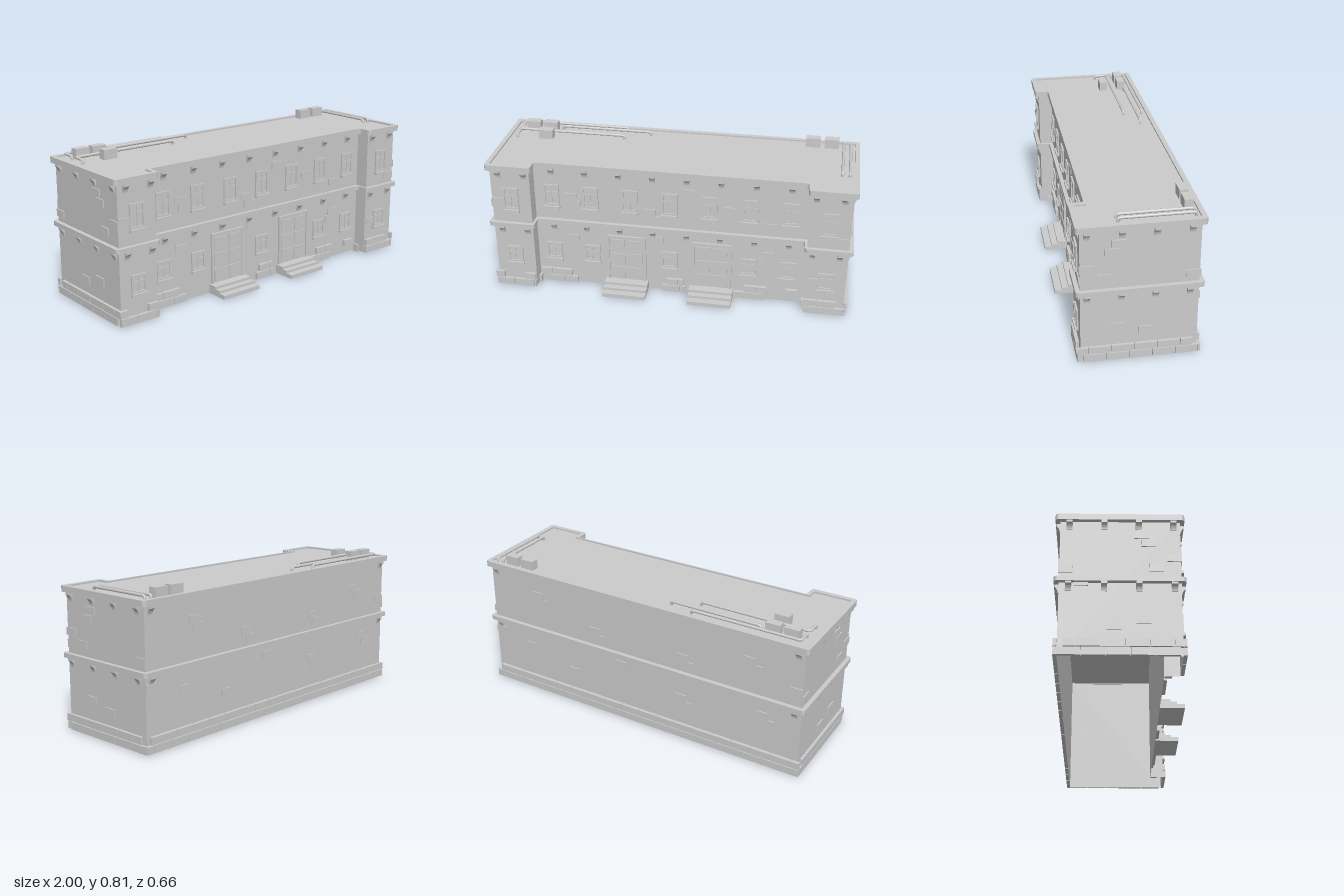
import * as THREE from 'three';

// Double-sided because the building is an open-bottomed shell
const stone = new THREE.MeshStandardMaterial({ color: 0xcccccc, side: THREE.DoubleSide });
stone.name = 'grey stone';

// U-shaped plan: two end wings stand forward of the main front
const plan = (x, back, front, wing, recess) => [
  [-x, back], [-x, front], [-wing, front], [-wing, recess],
  [wing, recess], [wing, front], [x, front], [x, back],
];
const wallPlan = plan(0.975, -0.305, 0.278, 0.755, 0.2);
const cornicePlan = plan(0.998, -0.329, 0.3, 0.742, 0.222);
const roofPlan = plan(0.972, -0.303, 0.273, 0.765, 0.213);

function add(parent, geometry, name, x = 0, y = 0, z = 0) {
  const mesh = new THREE.Mesh(geometry, stone);
  mesh.name = name;
  mesh.position.set(x, y, z);
  parent.add(mesh);
  return mesh;
}

// Trace a plan as a path with softened corners
function trace(path, pts, r) {
  const n = pts.length;
  const toward = (a, b) => {
    const l = Math.hypot(b[0] - a[0], b[1] - a[1]);
    return [a[0] + (b[0] - a[0]) * r / l, -(a[1] + (b[1] - a[1]) * r / l)];
  };
  pts.forEach((p, i) => {
    const from = toward(p, pts[(i + n - 1) % n]), to = toward(p, pts[(i + 1) % n]);
    if (i) path.lineTo(...from); else path.moveTo(...from);
    path.quadraticCurveTo(p[0], -p[1], ...to);
  });
  path.closePath();
  return path;
}

function slab(outer, hole, y0, y1) {
  const shape = trace(new THREE.Shape(), outer, 0.018);
  if (hole) shape.holes.push(trace(new THREE.Path(), hole, 0.004));
  return new THREE.ExtrudeGeometry(shape, { depth: y1 - y0, bevelEnabled: false, curveSegments: 4 })
    .rotateX(-Math.PI / 2).translate(0, y0, 0);
}

// Open-bottomed shell of flat walls
function wallShell(y0, y1) {
  const pos = [];
  wallPlan.forEach((p, i) => {
    const q = wallPlan[(i + 1) % wallPlan.length];
    const a = [p[0], y0, p[1]], b = [q[0], y0, q[1]], c = [q[0], y1, q[1]], d = [p[0], y1, p[1]];
    pos.push(...a, ...b, ...c, ...a, ...c, ...d);
  });
  const g = new THREE.BufferGeometry();
  g.setAttribute('position', new THREE.Float32BufferAttribute(pos, 3));
  g.computeVertexNormals();
  return g;
}

// A holder on a wall: its +z points out of the wall, u runs along world x or z
function onWall(root, side, u, y, name) {
  const holder = new THREE.Group();
  holder.name = name;
  const frontZ = Math.abs(u) > 0.755 ? 0.278 : 0.2;
  const [x, z, turn] = {
    front: [u, frontZ, 0],
    back: [u, -0.305, Math.PI],
    right: [0.975, u, Math.PI / 2],
    left: [-0.975, u, -Math.PI / 2],
  }[side];
  holder.position.set(x, y, z);
  holder.rotation.y = turn;
  root.add(holder);
  return holder;
}

const block = (parent, name, x, y, w, h, d) =>
  add(parent, new THREE.BoxGeometry(w, h, d), name, x, y, d / 2);

function bricks(root, side, list) {
  for (const [u, y] of list) block(onWall(root, side, u, y, 'wallBrick'), 'brick', 0, 0, 0.07, 0.04, 0.006);
}

function windowAt(root, x, y0, h) {
  const g = onWall(root, 'front', x, y0, 'window');
  const w = 0.088, t = 0.011;
  block(g, 'pane', 0, h / 2, w, h, 0.002);
  for (const s of [-1, 1]) block(g, 'sideFrame', s * (w - t) / 2, h / 2, t, h, 0.009);
  block(g, 'topFrame', 0, h - t / 2, w, t, 0.009);
  block(g, 'bottomFrame', 0, t / 2, w, t, 0.009);
  block(g, 'mullion', 0, h / 2, 0.007, h, 0.006);
  block(g, 'transom', 0, h * 0.64, w, 0.007, 0.006);
  block(g, 'sill', 0, -0.007, 0.094, 0.014, 0.019);
}

function entranceAt(root, x) {
  const g = onWall(root, 'front', x, 0, 'entrance');
  block(g, 'doorLeaf', 0, 0.193, 0.22, 0.285, 0.004);
  for (const s of [-1, 1]) {
    block(g, 'doorJamb', s * 0.104, 0.193, 0.012, 0.285, 0.012);
    for (let i = 0; i < 3; i++) block(g, 'doorPanel', s * 0.049, 0.1 + i * 0.088, 0.078, 0.07, 0.009);
  }
  block(g, 'doorLintel', 0, 0.33, 0.22, 0.012, 0.012);
  // three steps, widest at the ground
  [[0.13, 0.004, 0.026], [0.09, 0.026, 0.04], [0.055, 0.04, 0.054]].forEach(([d, a, b]) =>
    block(g, 'step', 0, (a + b) / 2, 0.244, b - a, d));
}

// Curved bracket below a cornice
const bracketShape = new THREE.Shape();
bracketShape.moveTo(0, 0);
bracketShape.lineTo(0, -0.045);
bracketShape.lineTo(0.004, -0.045);
bracketShape.quadraticCurveTo(0.006, -0.024, 0.021, -0.012);
bracketShape.lineTo(0.021, 0);
const bracketGeo = new THREE.ExtrudeGeometry(bracketShape, { depth: 0.03, bevelEnabled: false, curveSegments: 6 })
  .translate(0, 0, -0.015).rotateY(-Math.PI / 2);

// One course of base stones with narrow joints
function course(root, side, from, to, y, h, first, d) {
  let a = from, len = first;
  while (a < to - 0.01) {
    const b = Math.min(a + len, to);
    block(onWall(root, side, (a + b) / 2, y, 'baseStone'), 'stone', 0, 0, b - a - 0.003, h, d);
    a = b;
    len = 0.115;
  }
}

function pipe(root, pts) {
  const path = new THREE.CurvePath();
  const v = pts.map((p) => new THREE.Vector3(...p));
  let last = v[0];
  for (let i = 1; i < v.length - 1; i++) {
    const before = v[i].clone().add(v[i - 1].clone().sub(v[i]).setLength(0.016));
    const after = v[i].clone().add(v[i + 1].clone().sub(v[i]).setLength(0.016));
    path.add(new THREE.LineCurve3(last, before));
    path.add(new THREE.QuadraticBezierCurve3(before, v[i], after));
    last = after;
  }
  path.add(new THREE.LineCurve3(last, v[v.length - 1]));
  add(root, new THREE.TubeGeometry(path, 90, 0.008, 8), 'roofPipe');
}

export function createModel() {
  const root = new THREE.Group();
  root.name = 'building';

  // Walls, middle cornice, parapet and roof
  add(root, wallShell(0.005, 0.74), 'walls');
  add(root, slab(cornicePlan, wallPlan, 0.388, 0.413), 'middleCornice');
  add(root, slab(cornicePlan, roofPlan, 0.73, 0.762), 'topCornice');
  add(root, slab(roofPlan, null, 0.735, 0.753), 'roof');

  // Brackets under both cornices
  const frontBrackets = [-0.93, -0.785, -0.655, -0.468, -0.28, -0.094, 0.094, 0.28, 0.468, 0.655, 0.785, 0.93];
  for (const y of [0.388, 0.73]) {
    const put = (side, u) => add(onWall(root, side, u, y, 'bracket'), bracketGeo, 'corbel');
    frontBrackets.forEach((u) => put('front', u));
    for (const u of [0.245, 0.077, -0.09, -0.26]) ['left', 'right'].forEach((s) => put(s, u));
    for (const u of [-0.94, 0.94]) put('back', u);
  }

  // Windows and entrances
  for (const x of [-0.867, -0.66, -0.44, -0.22, 0, 0.22, 0.44, 0.66, 0.867]) {
    windowAt(root, x, 0.495, 0.13);
    if (Math.abs(x) !== 0.22) windowAt(root, x, 0.158, 0.1);
  }
  entranceAt(root, -0.243);
  entranceAt(root, 0.238);

  // Base stones: full courses on the sides and back, broken ones on the front
  for (const s of ['left', 'right']) {
    course(root, s, -0.322, 0.266, 0.025, 0.04, 0.012, 0.015);
    course(root, s, -0.28, 0.295, 0.068, 0.038, 0.06, 0.015);
  }
  course(root, 'back', -0.985, 0.985, 0.025, 0.04, 0.09, 0.019);
  course(root, 'back', -0.99, 0.96, 0.068, 0.038, 0.05, 0.019);
  for (const [a, b] of [[-0.985, -0.755], [-0.71, -0.53], [-0.04, 0.09], [0.36, 0.53], [0.757, 0.985]])
    course(root, 'front', a, b, 0.025, 0.04, 0.1, 0.017);
  for (const [a, b] of [[-0.99, -0.94], [-0.82, -0.757], [-0.75, -0.56], [-0.02, 0.08], [0.42, 0.55], [0.65, 0.72], [0.757, 0.93]])
    course(root, 'front', a, b, 0.068, 0.038, 0.07, 0.017);
  // Stones on the inner faces of the wings
  for (const s of [-1, 1])
    add(root, new THREE.BoxGeometry(0.018, 0.042, 0.036), 'wingStone', s * 0.752, 0.021, 0.22);

  // Scattered raised bricks
  const sideBricks = [[0.09, 0.655], [0.123, 0.61], [0.248, 0.527], [0.16, 0.473], [-0.275, 0.46],
    [-0.2, 0.392], [0.097, 0.193], [-0.043, 0.16]];
  bricks(root, 'right', sideBricks);
  bricks(root, 'left', sideBricks);
  bricks(root, 'back', [[0.65, 0.62], [0.62, 0.58], [0.27, 0.5], [0.235, 0.46], [-0.29, 0.5], [-0.32, 0.46],
    [-0.68, 0.6], [-0.72, 0.56], [0.72, 0.28], [0.1, 0.34], [-0.28, 0.25], [-0.31, 0.21], [-0.76, 0.3],
    [-0.8, 0.26], [0.42, 0.2], [-0.94, 0.5], [0.94, 0.33]]);
  bricks(root, 'front', [[-0.55, 0.56], [-0.53, 0.52], [-0.11, 0.5], [-0.09, 0.46], [0.11, 0.64], [0.33, 0.55],
    [0.55, 0.47], [-0.55, 0.3], [0.55, 0.29], [0.53, 0.25], [-0.07, 0.33], [0.94, 0.46], [-0.94, 0.54], [0.8, 0.2]]);

  // Rooftop boxes
  for (const [x, z] of [[-0.868, -0.23], [-0.766, -0.23], [-0.766, -0.122], [0.738, -0.262], [0.842, -0.262]])
    add(root, new THREE.BoxGeometry(0.08, 0.055, 0.046), 'roofUnit', x, 0.778, z);

  // Rooftop pipes turning down into the roof
  const y = 0.774, low = 0.748;
  pipe(root, [[-0.932, low, -0.205], [-0.932, y, -0.205], [-0.932, y, -0.278], [-0.322, y, -0.278], [-0.322, low, -0.278]]);
  pipe(root, [[-0.7, low, -0.243], [-0.7, y, -0.243], [-0.182, y, -0.243], [-0.182, low, -0.243]]);
  pipe(root, [[-0.932, low, -0.098], [-0.932, y, -0.098], [-0.932, y, -0.17], [-0.322, y, -0.17], [-0.322, low, -0.17]]);
  for (const x of [0.908, 0.947])
    pipe(root, [[x, low, -0.283], [x, y, -0.283], [x, y, 0.093], [x, low, 0.093]]);

  return root;
}
